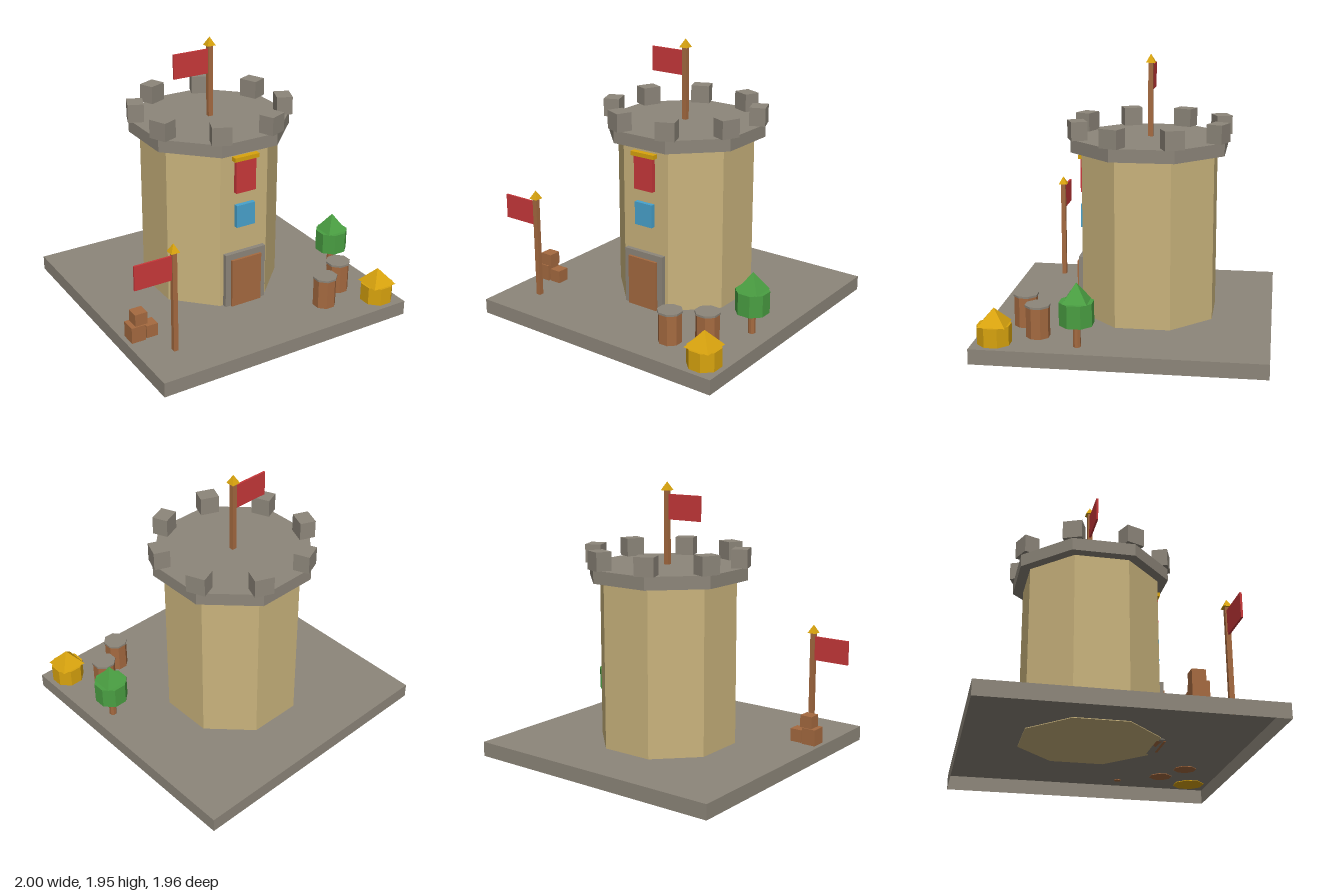
import * as THREE from 'three';

const paint = (name, color, side = THREE.FrontSide) => {
  const m = new THREE.MeshStandardMaterial({ color, side });
  m.name = name;
  return m;
};

export function createModel() {
  const model = new THREE.Group();
  model.name = 'towerScene';

  const stone = paint('stone', 0x8d867a);
  const baseStone = stone.clone();
  baseStone.name = 'stoneOpen';
  baseStone.side = THREE.DoubleSide;
  const sand = paint('sandstone', 0xc9b37c);
  const wood = paint('wood', 0xa56a40);
  const red = paint('redCloth', 0xc8383a);
  const blue = paint('blueGlass', 0x48a2cc);
  const gold = paint('gold', 0xd8a30e);
  const green = paint('leafGreen', 0x4a9f42);

  const add = (name, geometry, material, x, y, z, parent = model) => {
    const mesh = new THREE.Mesh(geometry, material);
    mesh.name = name;
    mesh.position.set(x, y, z);
    parent.add(mesh);
    return mesh;
  };

  // Box given by its horizontal centre, and its bottom and top heights
  const box = (name, mat, x, z, w, d, y0, y1, parent) =>
    add(name, new THREE.BoxGeometry(w, y1 - y0, d), mat, x, (y0 + y1) / 2, z, parent);

  // Octagonal prism with flats facing the axes; a is the half width across flats
  const octagon = (name, mat, x, z, a, y0, y1, parent) => {
    const r = a / Math.cos(Math.PI / 8);
    const g = new THREE.CylinderGeometry(r, r, y1 - y0, 8).rotateY(Math.PI / 8).toNonIndexed();
    g.computeVertexNormals();
    return add(name, g, mat, x, (y0 + y1) / 2, z, parent);
  };

  // Square pyramid; a is half the base width
  const pyramid = (name, mat, x, z, a, y0, y1, parent) => {
    const g = new THREE.ConeGeometry(a * Math.SQRT2, y1 - y0, 4).rotateY(Math.PI / 4).toNonIndexed();
    g.computeVertexNormals();
    return add(name, g, mat, x, (y0 + y1) / 2, z, parent);
  };

  const group = (name) => {
    const g = new THREE.Group();
    g.name = name;
    model.add(g);
    return g;
  };

  // Ground slab, open underneath
  const slab = new THREE.BoxGeometry(1.96, 0.105, 1.96);
  const index = Array.from(slab.index.array);
  index.splice(18, 6);
  slab.setIndex(index);
  slab.clearGroups();
  add('groundSlab', slab, baseStone, 0.02, 0.0525, 0);

  // Tower body, parapet and battlements
  const TX = 0.02, TZ = -0.103;
  const tower = group('tower');
  octagon('towerWall', sand, TX, TZ, 0.459, 0.1, 1.28, tower);
  octagon('parapet', stone, TX, TZ, 0.53, 1.28, 1.37, tower);
  for (let i = 0; i < 8; i++) {
    const a = (i + 0.5) * Math.PI / 4;
    const block = box('battlement', stone, TX + 0.525 * Math.sin(a), TZ + 0.525 * Math.cos(a),
      0.136, 0.113, 1.37, 1.5, tower);
    block.rotation.y = a;
  }

  // Door, window and banner on the front wall
  box('doorFrame', stone, TX, 0.365, 0.326, 0.05, 0.1, 0.515, tower);
  box('door', wood, TX, 0.375, 0.24, 0.066, 0.1, 0.47, tower);
  box('window', blue, TX, 0.368, 0.147, 0.04, 0.71, 0.877, tower);
  box('banner', red, TX, 0.368, 0.158, 0.036, 0.97, 1.21, tower);
  box('bannerRail', gold, TX, 0.372, 0.195, 0.052, 1.21, 1.24, tower);

  // Flagpoles
  const flag = (x, z, y0, y1) => {
    const g = group('flagpole');
    box('pole', wood, x, z, 0.034, 0.034, y0, y1, g);
    pyramid('finial', gold, x, z, 0.032, y1, y1 + 0.06, g);
    box('flag', red, x - 0.151, z, 0.27, 0.014, y1 - 0.2, y1 - 0.025, g);
  };
  flag(TX, TZ, 1.37, 1.885);
  flag(-0.714, 0.679, 0.1, 0.84);

  // Barrels with stone lids
  for (const [x, z] of [[0.487, 0.705], [0.698, 0.575]]) {
    const g = group('barrel');
    octagon('barrelBody', wood, x, z, 0.076, 0.1, 0.318, g);
    octagon('barrelLid', stone, x, z, 0.082, 0.318, 0.332, g);
  }

  // Stacked crates
  const crates = group('crates');
  box('largeCrate', wood, -0.875, 0.415, 0.105, 0.112, 0.1, 0.222, crates);
  box('smallCrate', wood, -0.767, 0.415, 0.086, 0.09, 0.1, 0.198, crates);
  box('topCrate', wood, -0.848, 0.415, 0.092, 0.092, 0.222, 0.31, crates);

  // Tree
  const tree = group('tree');
  octagon('trunk', wood, 0.855, 0.28, 0.024, 0.1, 0.27, tree);
  octagon('foliage', green, 0.855, 0.28, 0.109, 0.263, 0.418, tree);
  pyramid('treeTop', green, 0.855, 0.28, 0.082, 0.418, 0.546, tree);

  // Golden tent
  const tent = group('tent');
  octagon('tentWall', gold, 0.855, 0.835, 0.108, 0.1, 0.236, tent);
  pyramid('tentRoof', gold, 0.855, 0.835, 0.094, 0.236, 0.348, tent);

  return model;
}
